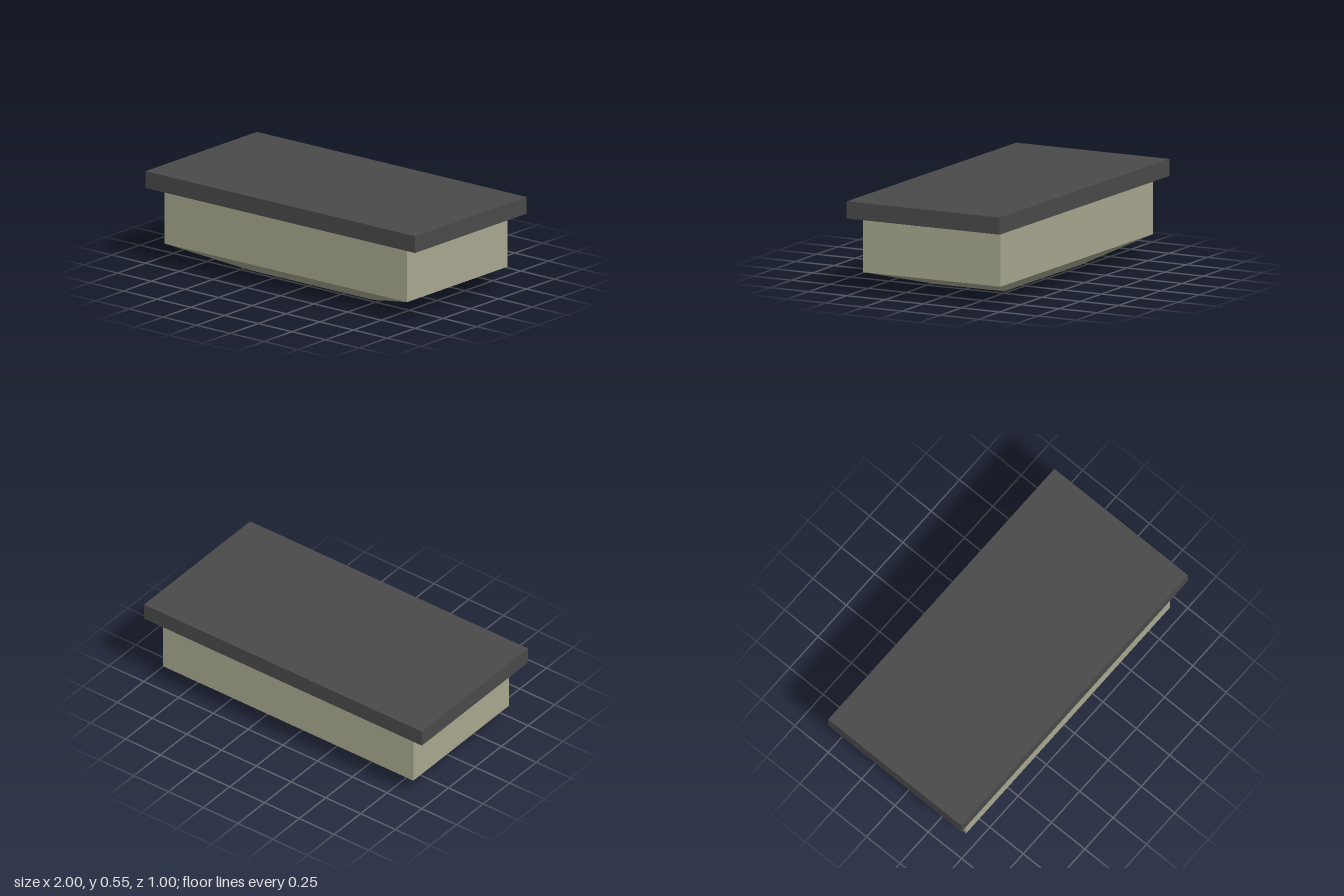
import * as THREE from 'three';

export function createModel() {
  const group = new THREE.Group();
  const charcoal = new THREE.MeshStandardMaterial({ color: 0x4a4a4a });
  charcoal.name = 'charcoal';
  const stone = new THREE.MeshStandardMaterial({ color: 0xa8a890 });
  stone.name = 'stone';

  // Box spanning bottom..top, centred on x and z
  const addBox = (name, width, depth, bottom, top, material) => {
    const geometry = new THREE.BoxGeometry(width, top - bottom, depth);
    geometry.translate(0, (bottom + top) / 2, 0);
    const mesh = new THREE.Mesh(geometry, material);
    mesh.name = name;
    group.add(mesh);
    return mesh;
  };

  // Overhanging slab, with its underside in the body colour (face order: +x -x +y -y +z -z)
  addBox('topSlab', 2, 1, 0.45, 0.55, [charcoal, charcoal, charcoal, stone, charcoal, charcoal]);

  // Straight walls
  addBox('body', 1.8, 0.9, 0.125, 0.45, stone);

  // Base narrowing to half size at the ground
  const base = addBox('taperedBase', 1.8, 0.9, 0, 0.125, stone).geometry;
  const position = base.attributes.position;
  for (let i = 0; i < position.count; i++) {
    if (position.getY(i) < 0.06) {
      position.setX(i, position.getX(i) * 0.5);
      position.setZ(i, position.getZ(i) * 0.5);
    }
  }
  base.computeVertexNormals();

  return group;
}
